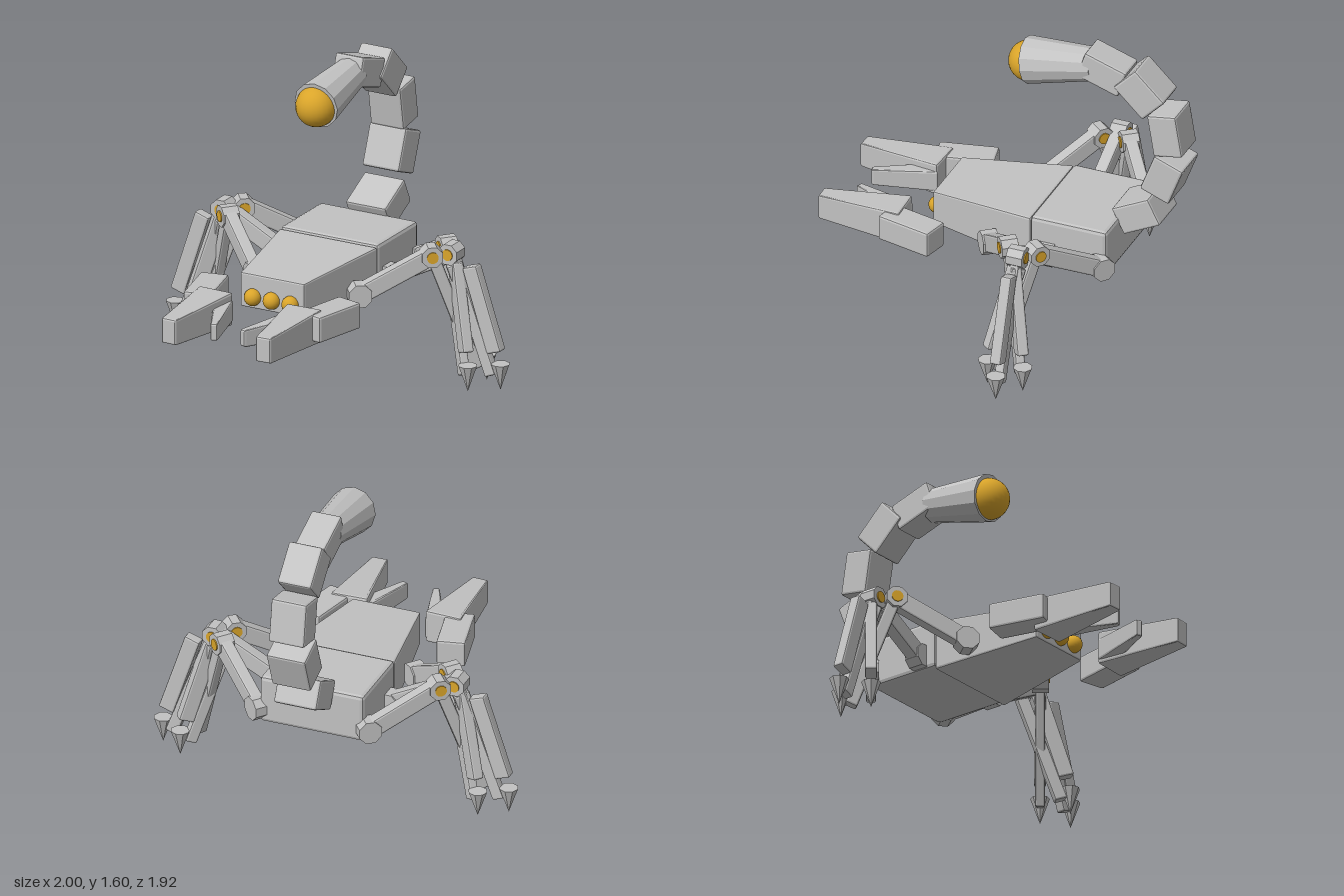
import * as THREE from 'three';
import { RoundedBoxGeometry } from 'three/addons/geometries/RoundedBoxGeometry.js';

const grey = new THREE.MeshStandardMaterial({ color: 0xc2c2c2, flatShading: true });
grey.name = 'light grey';
const gold = new THREE.MeshStandardMaterial({ color: 0xdaa52a });
gold.name = 'gold';

function add(parent, name, geometry, material, x = 0, y = 0, z = 0) {
  const mesh = new THREE.Mesh(geometry, material);
  mesh.name = name;
  mesh.position.set(x, y, z);
  parent.add(mesh);
  return mesh;
}

const block = (w, h, d, r = 0.012) => new RoundedBoxGeometry(w, h, d, 1, r);

// Bevelled block whose +z end is scaled by sx, sy and raised by lift
function taperedBlock(w, h, d, sx, sy, lift = 0) {
  const g = block(w, h, d);
  const p = g.attributes.position;
  for (let i = 0; i < p.count; i++) {
    const t = p.getZ(i) / d + 0.5;
    p.setX(i, p.getX(i) * (1 + (sx - 1) * t));
    p.setY(i, p.getY(i) * (1 + (sy - 1) * t) + lift * t);
  }
  g.computeVertexNormals();
  return g;
}

// Cylinder lying along z, with flat sides up and down
function discZ(r, length, sides) {
  return new THREE.CylinderGeometry(r, r, length, sides, 1, false, Math.PI / sides).rotateX(Math.PI / 2);
}

// Beam in the leg's own plane, from a to b
function beam(parent, name, a, b, height, thickness) {
  const dx = b[0] - a[0], dy = b[1] - a[1];
  const mesh = add(parent, name, block(Math.hypot(dx, dy), height, thickness, 0.01), grey,
    (a[0] + b[0]) / 2, (a[1] + b[1]) / 2, 0);
  mesh.rotation.z = Math.atan2(dy, dx);
}

// Leg reaching out along its local +x
function makeLeg() {
  const leg = new THREE.Group();
  leg.name = 'leg';
  const hip = [0, 0.5], knee = [0.37, 0.69];
  add(leg, 'hipJoint', discZ(0.064, 0.085, 8), grey, ...hip);
  beam(leg, 'thigh', hip, knee, 0.095, 0.068);
  add(leg, 'kneeJoint', discZ(0.058, 0.088, 8), grey, ...knee);
  add(leg, 'kneePin', discZ(0.03, 0.1, 16), gold, ...knee);
  beam(leg, 'shin', [0.37, 0.7], [0.605, 0.07], 0.065, 0.05);
  beam(leg, 'shinPlate', [0.485, 0.64], [0.63, 0.2], 0.085, 0.06);
  add(leg, 'foot', new THREE.ConeGeometry(0.05, 0.14, 8).rotateX(Math.PI), grey, 0.655, 0.07, 0);
  return leg;
}

// Claw on the side s (+1 left, -1 right)
function makeClaw(s) {
  const claw = new THREE.Group();
  claw.name = s > 0 ? 'leftClaw' : 'rightClaw';
  const arm = add(claw, 'clawArm', block(0.15, 0.14, 0.31), grey, s * 0.36, 0.5, 0.425);
  arm.rotation.y = -s * 0.225;
  const big = add(claw, 'largePincer', taperedBlock(0.2, 0.18, 0.46, 0.42, 0.75), grey, s * 0.267, 0.49, 0.73);
  big.rotation.y = s * 0.04;
  const small = add(claw, 'smallPincer', taperedBlock(0.1, 0.12, 0.34, 0.35, 0.75), grey, s * 0.145, 0.48, 0.675);
  small.rotation.y = -s * 0.37;
  return claw;
}

export function createModel() {
  const model = new THREE.Group();
  model.name = 'mechanicalScorpion';

  // Body
  add(model, 'rearBody', block(0.57, 0.26, 0.42, 0.02), grey, 0, 0.56, -0.41);
  add(model, 'frontBody', taperedBlock(0.57, 0.27, 0.58, 0.65, 0.68, 0.008), grey, 0, 0.545, 0.09);
  for (const x of [-0.11, 0, 0.11]) {
    add(model, 'eye', new THREE.SphereGeometry(0.045, 20, 14), gold, x, 0.525, 0.388);
  }

  // Tail segments: y, z, width, thickness, length, axis dy, axis dz
  const segments = [
    [0.715, -0.71, 0.235, 0.155, 0.225, 0.45, -0.9],
    [0.96, -0.847, 0.215, 0.17, 0.225, 0.94, -0.36],
    [1.215, -0.86, 0.195, 0.16, 0.235, 0.98, 0.16],
    [1.425, -0.715, 0.185, 0.175, 0.225, 0.7, 0.72],
    [1.49, -0.505, 0.165, 0.155, 0.24, 0.31, 0.95],
  ];
  segments.forEach(([y, z, w, h, l, dy, dz], i) => {
    const segment = add(model, 'tailSegment' + (i + 1), block(w, h, l), grey, 0, y, z);
    segment.rotation.x = Math.atan2(-dy, dz);
  });

  // Stinger barrel and bulb
  const barrel = new THREE.CylinderGeometry(0.125, 0.088, 0.37, 12).rotateX(Math.PI / 2);
  add(model, 'stingerBarrel', barrel, grey, 0, 1.467, -0.253).rotation.x = 0.165;
  add(model, 'stingerBulb', new THREE.SphereGeometry(0.107, 24, 16), gold, 0, 1.432, -0.073);

  // Legs and claws on both sides
  const legs = [
    [0.305, 0.02, 0.672, 'Front'],
    [0.295, -0.295, 0, 'Middle'],
    [0.305, -0.6, -0.672, 'Rear'],
  ];
  for (const s of [1, -1]) {
    for (const [x, z, angle, name] of legs) {
      const leg = makeLeg();
      leg.name = (s > 0 ? 'left' : 'right') + name + 'Leg';
      leg.position.set(s * x, 0, z);
      leg.rotation.y = s > 0 ? angle : Math.PI - angle;
      model.add(leg);
    }
    model.add(makeClaw(s));
  }
  return model;
}
